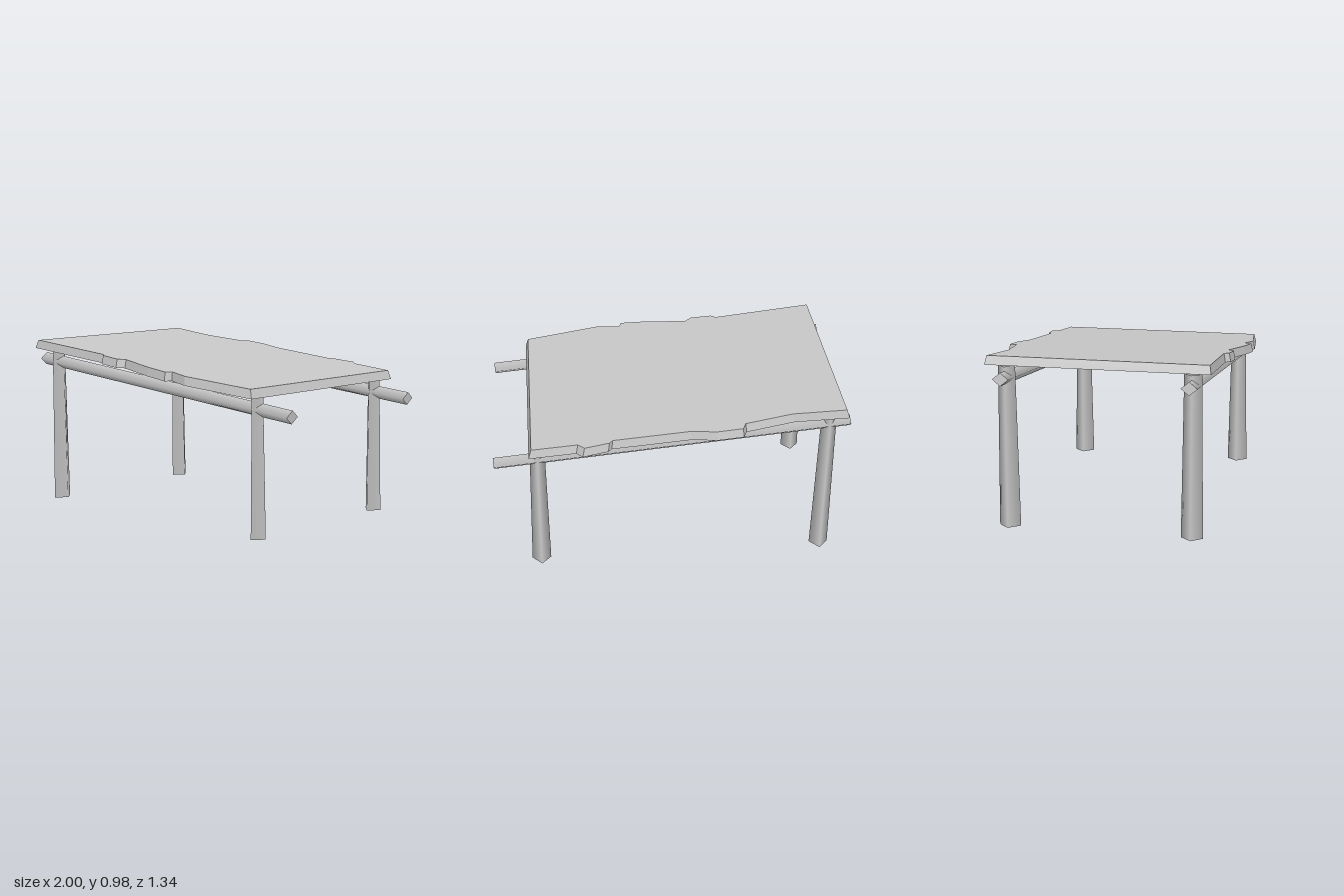
import * as THREE from 'three';

const stone = new THREE.MeshStandardMaterial({ color: 0xc9c9c9, side: THREE.DoubleSide });
stone.name = 'grey';

// Tapered four-sided pole between two points, with its corners along the axes;
// flatten narrows it across the other diagonal.
function pole(name, from, to, rFrom, rTo, flatten, open) {
  const a = new THREE.Vector3(...from), b = new THREE.Vector3(...to);
  const dir = b.clone().sub(a);
  const geo = new THREE.CylinderGeometry(rTo, rFrom, dir.length(), 4, 1, open);
  geo.scale(flatten, 1, 1);
  const mesh = new THREE.Mesh(geo, stone);
  mesh.name = name;
  mesh.position.copy(a).add(b).multiplyScalar(0.5);
  mesh.quaternion.setFromUnitVectors(new THREE.Vector3(0, 1, 0), dir.normalize());
  return mesh;
}

// Sloping lid with ragged front and back edges: a top sheet and a flared rim, open below.
function makeRoof() {
  const outline = [
    [-0.975, -0.617], [-0.67, -0.589], [-0.4, -0.627], [-0.38, -0.673], [-0.235, -0.673],
    [-0.095, -0.636], [0.345, -0.63], [0.365, -0.651], [0.505, -0.671], [0.54, -0.63],
    [0.802, -0.625], [0.804, 0.607], [0.36, 0.66], [0.227, 0.625], [0.213, 0.669],
    [0.055, 0.649], [-0.19, 0.593], [-0.228, 0.628], [-0.357, 0.622], [-0.383, 0.596],
    [-0.967, 0.614],
  ];
  const shape = new THREE.Shape(outline.map(([x, z]) => new THREE.Vector2(x, z)));
  const geo = new THREE.ExtrudeGeometry(shape, { depth: 0.05, bevelEnabled: false });
  geo.rotateX(Math.PI / 2);
  const p = geo.attributes.position;
  const isTop = (i) => p.getY(i) > -0.01;

  // Keep every triangle that touches the top, which leaves out the underside.
  const kept = [];
  for (let i = 0; i < p.count; i += 3) {
    if (isTop(i) || isTop(i + 1) || isTop(i + 2)) kept.push(i, i + 1, i + 2);
  }
  geo.clearGroups();
  geo.setIndex(kept);

  // Narrow the top and lean the whole lid down towards +x.
  for (let i = 0; i < p.count; i++) {
    let x = p.getX(i), z = p.getZ(i);
    if (isTop(i)) {
      x = -0.087 + (x + 0.087) * 0.982;
      z *= 0.985;
    }
    p.setXYZ(i, x, p.getY(i) + 0.893 - 0.087 * x, z);
  }
  geo.computeVertexNormals();
  const mesh = new THREE.Mesh(geo, stone);
  mesh.name = 'roofSlab';
  return mesh;
}

export function createModel() {
  const model = new THREE.Group();
  model.name = 'leanToShelter';
  model.add(makeRoof());

  // Each side has a tall post, a short post and a sloping rail; the posts are hollow.
  for (const [side, z] of [['front', 0.504], ['back', -0.522]]) {
    model.add(
      pole(side + 'TallPost', [-0.87, 0, z], [-0.88, 0.91, z], 0.061, 0.048, 0.89, true),
      pole(side + 'ShortPost', [0.764, 0, z], [0.754, 0.785, z], 0.061, 0.046, 0.89, true),
      pole(side + 'Rail', [-0.998, 0.855, z], [0.998, 0.685, z], 0.045, 0.045, 0.82, false),
    );
  }
  return model;
}
